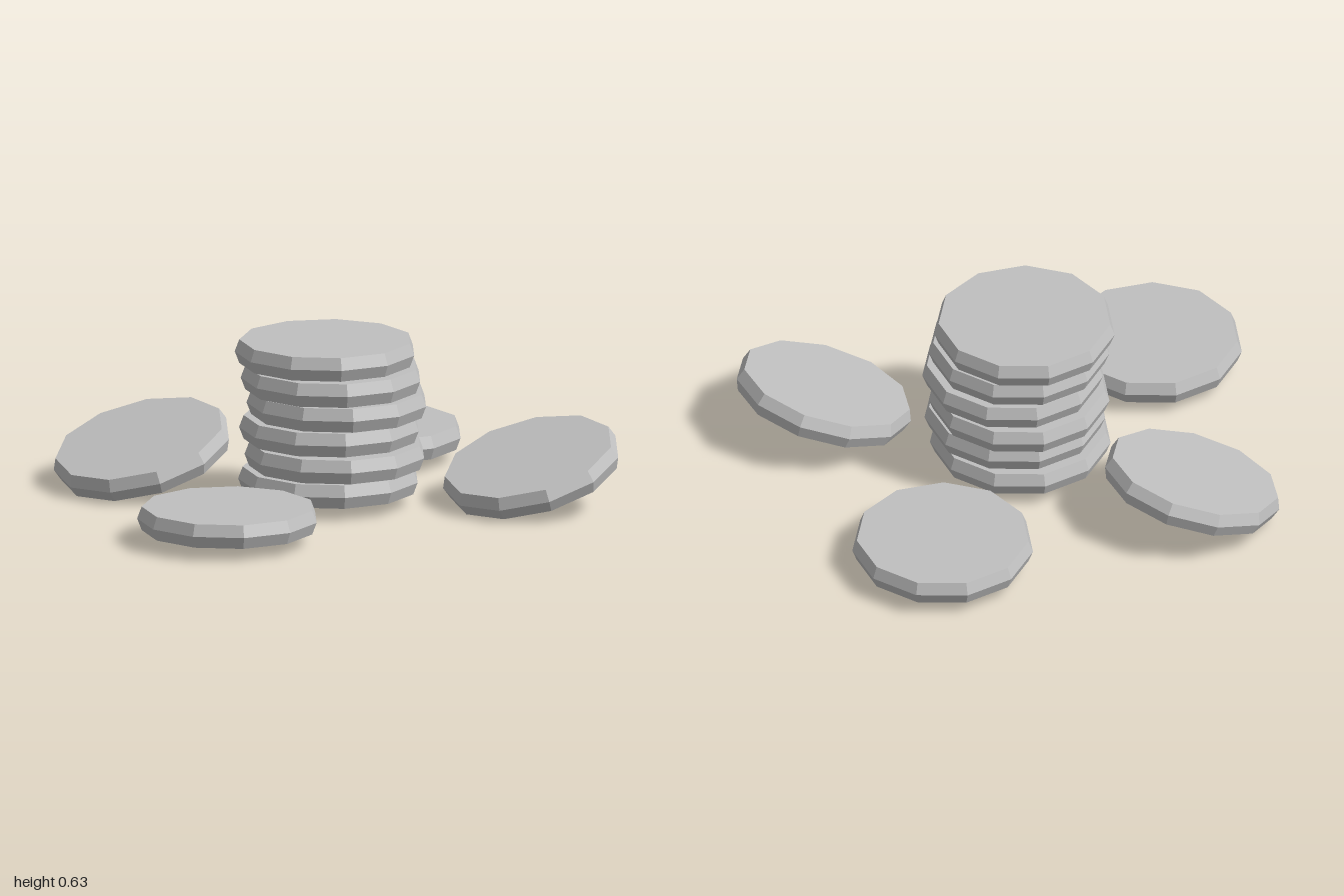
import * as THREE from 'three';

const SIDES = 11;
const RADIUS = 0.34;
const FACE_RADIUS = 0.323;
const THICKNESS = 0.09;

// Eleven-sided disc with a corner at +x and a rim pushed out to a mid-height ridge
function coinGeometry() {
  const geo = new THREE.CylinderGeometry(FACE_RADIUS, FACE_RADIUS, THICKNESS, SIDES, 2, false, Math.PI / 2);
  const pos = geo.attributes.position;
  const k = RADIUS / FACE_RADIUS;
  for (let i = 0; i < pos.count; i++) {
    if (Math.abs(pos.getY(i)) < 0.001) pos.setXYZ(i, pos.getX(i) * k, 0, pos.getZ(i) * k);
  }
  geo.computeVertexNormals();
  return geo;
}

export function createModel() {
  const model = new THREE.Group();
  model.name = 'coinPile';
  const silver = new THREE.MeshStandardMaterial({ color: 0xc0c0c0, flatShading: true });
  silver.name = 'silver';
  const geo = coinGeometry();

  function addCoin(parent, name, x, y, z, tilt = 0) {
    const coin = new THREE.Mesh(geo, silver);
    coin.name = name;
    coin.position.set(x, y, z);
    coin.rotation.x = tilt;
    parent.add(coin);
  }

  // Uneven central stack, bottom to top: [x, z]
  const stack = new THREE.Group();
  stack.name = 'coinStack';
  const offsets = [
    [0.05, -0.055], [0.08, -0.06], [0.05, -0.06],
    [0.08, -0.07], [0.075, -0.045], [0.053, -0.035],
  ];
  offsets.forEach(([x, z], i) => addCoin(stack, `stackCoin${i + 1}`, x, 0.095 + i * 0.098, z));
  model.add(stack);

  // Coins lying flat
  addCoin(model, 'frontCoin', 0.275, 0.095, 0.664);
  addCoin(model, 'backCoin', -0.375, 0.095, -0.664);

  // Coins tipped down towards the front
  addCoin(model, 'rightTiltedCoin', -0.605, 0.147, 0.288, 0.32);
  addCoin(model, 'leftTiltedCoin', 0.595, 0.147, -0.578, 0.32);

  return model;
}
